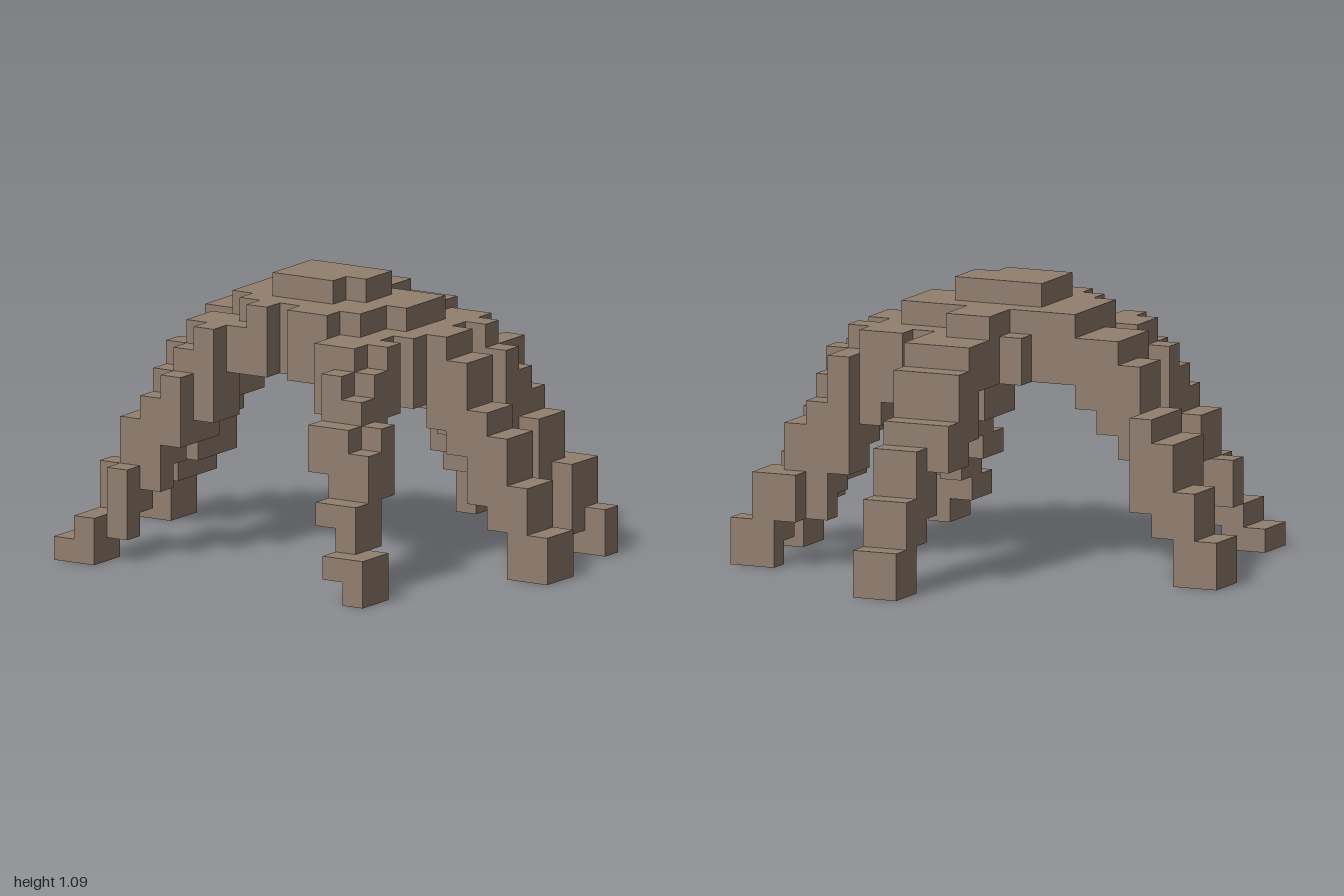
import * as THREE from 'three';
import { mergeGeometries } from 'three/addons/utils/BufferGeometryUtils.js';

const U = 1 / 11; // edge of one block

// First level whose radius limit exceeds r
const level = (steps, r) => steps.find(([limit]) => r < limit)[1];

// Upper and lower surface of the arch, in blocks, by distance from the middle
const TOP = [[4.1, 11], [6, 10], [7, 9], [7.51, 8], [8, 7], [9, 6], [10, 4], [10.82, 2], [99, 1]];
const BOTTOM = [[4.7, 8], [5.3, 7], [6, 6], [6.7, 5], [7.1, 4], [8.05, 3], [8.9, 2], [9.35, 1], [99, 0]];

// Stepped underside of a diagonal leg: the higher of its side and front staircases
const stairs = (x0, byX, z0, byZ) => (x, z) => Math.max(byX[x - x0], byZ[z - z0]);

// Footprints: rows of [z, first x, end x] in blocks, and the z of the arch's middle.
// under and over adjust the lower surface and limit the upper one.
const PARTS = {
  body: {
    mid: 1.1,
    rows: [[-2, -2, 3], [-1, -4, 5], [0, -4, 4], [1, -4, 4], [2, -4, 5], [3, -4, 4]],
    over: (x, z) => ((z === -2 && (x < -1 || x > 0)) || (z === 2 && x > 2) ? 10 : 11),
  },
  leftLeg: { mid: 1, rows: [[0, 4, 11], [1, 4, 11]] },
  rightLeg: { mid: 1.1, rows: [[-2, -11, -7], [-1, -11, -4], [0, -9, -4], [1, -6, -4]] },
  backLeg: {
    mid: 1.1,
    rows: [[-10, 0, 2], [-9, 0, 2], [-8, 0, 2], [-7, -1, 2], [-6, -1, 2], [-5, -1, 2], [-4, -1, 2], [-3, -1, 2]],
    under: (x, z, arch) => Math.max(arch, x < 0 ? 5 : x === 1 && z === -9 ? 1 : 0),
    over: (x) => (x < 1 ? 11 : 10),
  },
  backLeftLeg: {
    mid: 0.3,
    rows: [[-5, 7, 10], [-4, 5, 9], [-3, 3, 8], [-2, 3, 7]],
    under: stairs(3, [7, 6, 4, 2, 2, 0, 0], -5, [0, 1, 3, 5]),
    over: (x, z) => (z === -5 ? 4 : 10),
  },
  frontLeftLeg: {
    mid: 0.9,
    rows: [[4, 0, 5], [5, 2, 5], [6, 3, 6], [7, 3, 6], [8, 4, 7], [9, 5, 7]],
    under: stairs(0, [8, 8, 7, 5, 3, 1, 0], 4, [7, 5, 4, 2, 0, 0]),
    over: (x, z) => [11, 10, 9, 7, 4, 2][z - 4],
  },
  frontRightLeg: {
    mid: 0.8,
    rows: [[3, -5, -4], [4, -6, -1], [5, -7, -3], [6, -8, -4], [7, -9, -6], [8, -9, -7]],
    under: stairs(-9, [0, 0, 1, 3, 5, 6, 8, 8], 3, [7, 5, 4, 2, 0, 0]),
  },
};

// Box spanning the given block coordinates
function block(x0, x1, y0, y1, z0, z1) {
  const g = new THREE.BoxGeometry((x1 - x0) * U, (y1 - y0) * U, (z1 - z0) * U);
  return g.translate((x0 + x1) * U / 2, (y0 + y1) * U / 2, (z0 + z1) * U / 2);
}

// One upright column of blocks for every cell of a footprint
function columns({ mid, rows, under = (x, z, arch) => arch, over = () => 11 }) {
  const boxes = [];
  for (const [z, start, end] of rows) {
    for (let x = start; x < end; x++) {
      const r = Math.hypot(x + 0.5, z + 0.5 - mid);
      const bottom = under(x, z, level(BOTTOM, r));
      const top = Math.min(over(x, z), level(TOP, r));
      boxes.push(block(x, x + 1, bottom, top, z, z + 1));
    }
  }
  return mergeGeometries(boxes);
}

export function createModel() {
  const model = new THREE.Group();
  model.name = 'blockArch';
  const brown = new THREE.MeshStandardMaterial({ color: 0x927f6f });
  brown.name = 'brown';

  const add = (name, geometry) => {
    const mesh = new THREE.Mesh(geometry, brown);
    mesh.name = name;
    model.add(mesh);
  };

  // Body and the six stepped legs
  for (const [name, part] of Object.entries(PARTS)) add(name, columns(part));

  // Raised cap with one corner cut away
  add('cap', mergeGeometries([block(-2, 2, 11, 12, 0, 2), block(-2, 1, 11, 12, 2, 3)]));
  return model;
}
